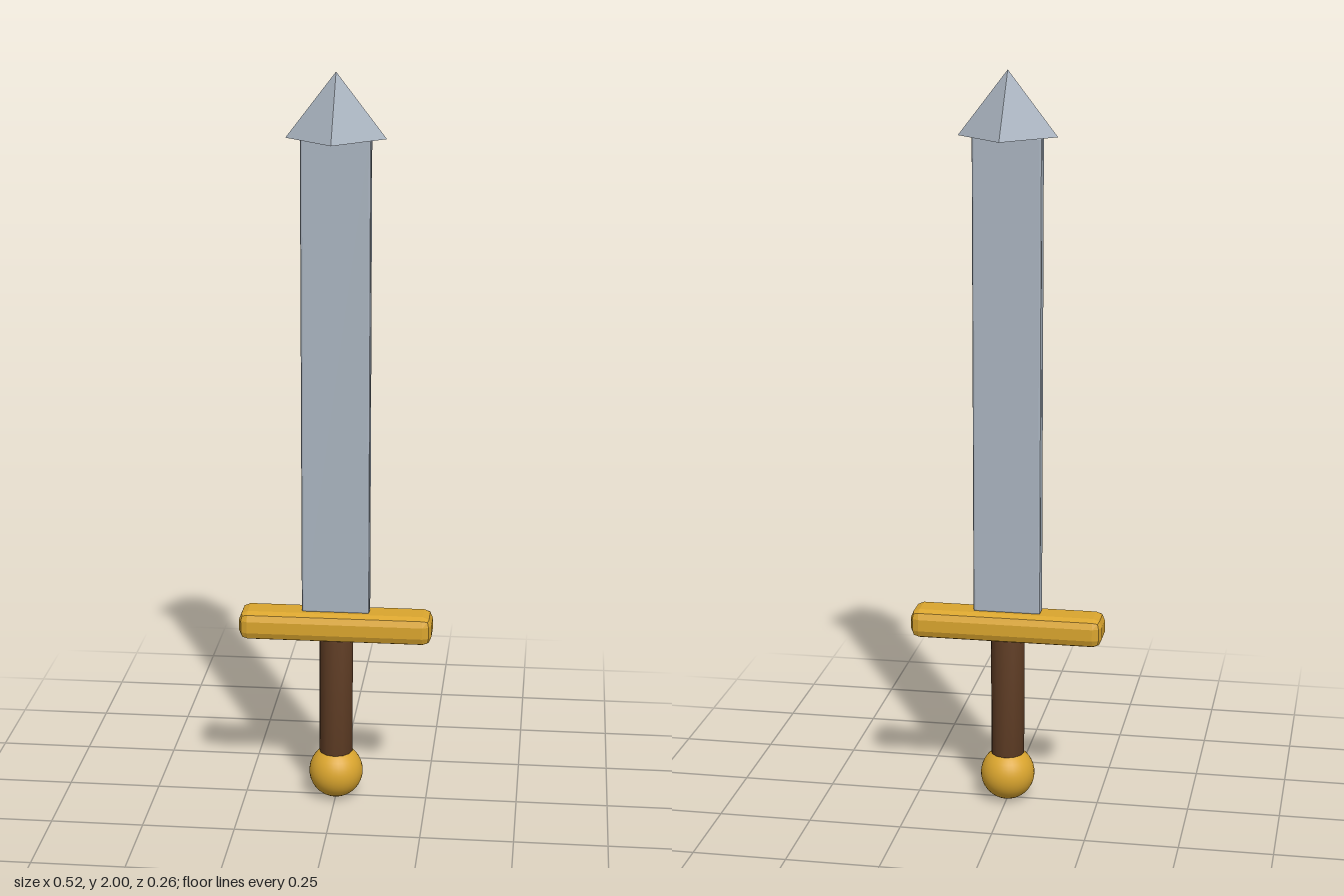
import * as THREE from 'three';
import { mergeVertices } from 'three/addons/utils/BufferGeometryUtils.js';
import { RoundedBoxGeometry } from 'three/addons/geometries/RoundedBoxGeometry.js';

const material = (name, color) => {
  const m = new THREE.MeshStandardMaterial({ color });
  m.name = name;
  return m;
};

// Give every face its own normal
function faceted(geometry) {
  const g = geometry.index ? geometry.toNonIndexed() : geometry;
  g.computeVertexNormals();
  return g;
}

// Weld a geometry and smooth it across all its edges
function softened(geometry) {
  geometry.deleteAttribute('normal');
  geometry.deleteAttribute('uv');
  const g = mergeVertices(geometry);
  g.computeVertexNormals();
  return g;
}

export function createModel() {
  const steel = material('steel', 0xaab4c0);
  const gold = material('gold', 0xdaa52e);
  const leather = material('leather', 0x5e3c24);

  const model = new THREE.Group();
  model.name = 'sword';

  const add = (name, geometry, mat, y) => {
    const mesh = new THREE.Mesh(geometry, mat);
    mesh.name = name;
    mesh.position.y = y;
    model.add(mesh);
    return mesh;
  };

  // Pommel ball at the foot
  add('pommel', new THREE.SphereGeometry(0.074, 32, 20), gold, 0.074);

  // Grip, slightly oval
  const grip = softened(new THREE.CylinderGeometry(0.05, 0.05, 0.33, 12));
  add('grip', grip, leather, 0.3).scale.x = 0.92;

  // Crossguard with bevelled edges
  add('crossguard', faceted(new RoundedBoxGeometry(0.524, 0.08, 0.11, 1, 0.024)), gold, 0.505);

  // Long flat blade with narrow bevels
  add('blade', faceted(new RoundedBoxGeometry(0.184, 1.29, 0.038, 1, 0.006)), steel, 1.187);

  // Pyramid point, corners on the axes
  add('tip', faceted(new THREE.ConeGeometry(0.131, 0.17, 4)), steel, 1.915);

  return model;
}
